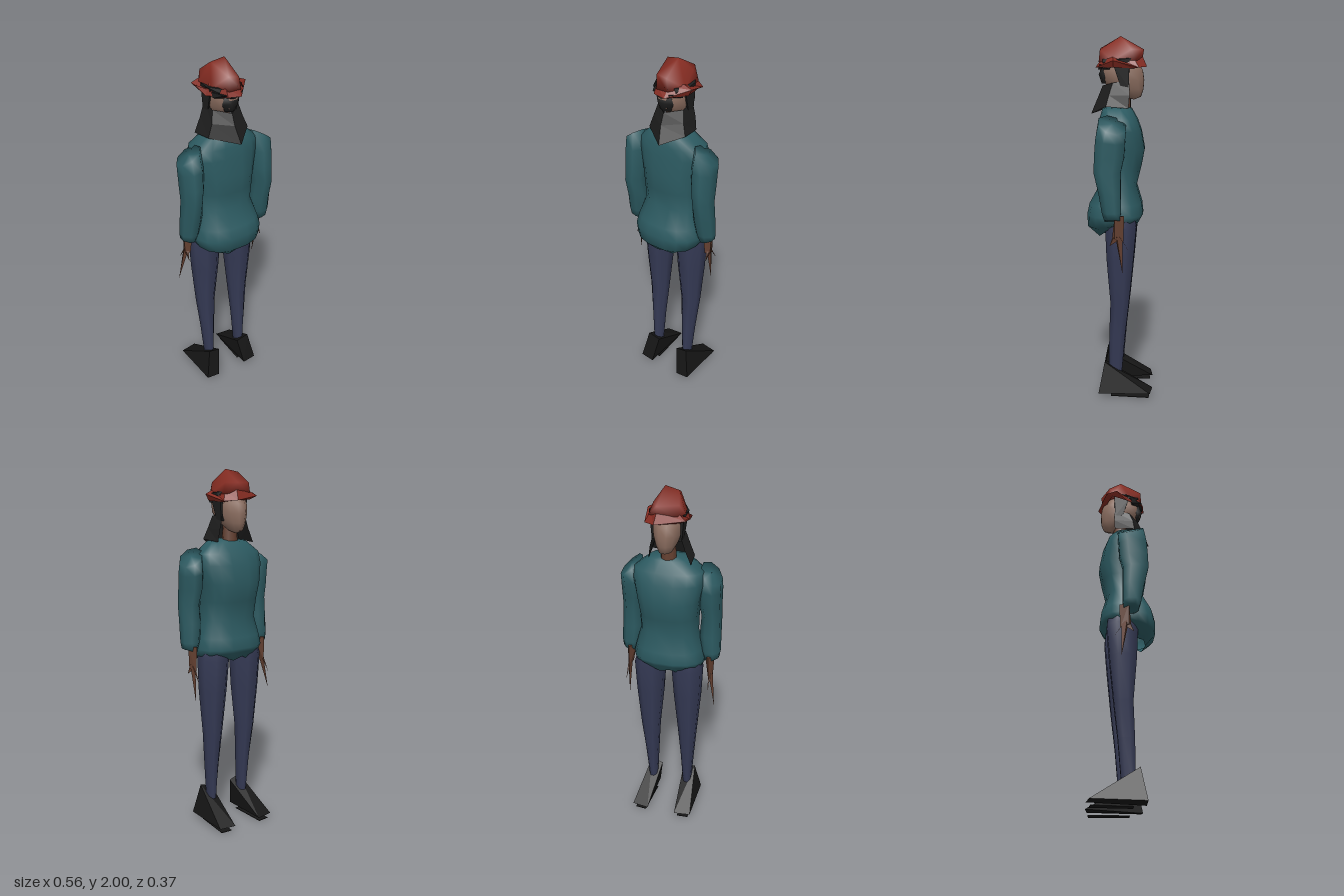
import * as THREE from 'three';
import { ConvexGeometry } from 'three/addons/geometries/ConvexGeometry.js';
import { mergeVertices } from 'three/addons/utils/BufferGeometryUtils.js';

const mat = (name, color, side = THREE.FrontSide) => {
  const m = new THREE.MeshStandardMaterial({ color, side });
  m.name = name;
  return m;
};

// One cross-section: ellipse at height y, optionally tilted across x and z, with a jagged edge.
// A power below 1 squares the ellipse off.
function ring(sides, power, [y, rx, rz, cx = 0, cz = 0, tiltX = 0, tiltZ = 0, jag = 0]) {
  const shape = (v) => Math.sign(v) * Math.abs(v) ** power;
  return Array.from({ length: sides }, (_, i) => {
    const a = ((i + 0.5) / sides) * Math.PI * 2;
    const c = shape(Math.cos(a)), s = shape(Math.sin(a));
    return [cx + rx * c, y + tiltX * c + tiltZ * s + (i % 2 ? jag : -jag), cz + rz * s];
  });
}

// Skin rows of points, given from top to bottom
function skinRows(rows, closed = true, flat = false) {
  const n = rows[0].length, index = [];
  for (let i = 0; i < rows.length - 1; i++) {
    for (let j = 0; j < (closed ? n : n - 1); j++) {
      const k = (j + 1) % n;
      const a = i * n + j, b = i * n + k, c = a + n, d = b + n;
      index.push(a, b, c, b, d, c);
    }
  }
  let g = new THREE.BufferGeometry();
  g.setAttribute('position', new THREE.Float32BufferAttribute(rows.flat(2), 3));
  g.setIndex(index);
  if (flat) g = g.toNonIndexed();
  g.computeVertexNormals();
  return g;
}

const loft = (sides, sections, power = 1) => skinRows(sections.map((s) => ring(sides, power, s)));

// Faceted solid around a few corner points; m = -1 mirrors it
const hull = (pts, m = 1) => new ConvexGeometry(pts.map(([x, y, z]) => new THREE.Vector3(x * m, y, z)));

// Share the corners of a hull so that it shades smoothly
function smooth(geometry) {
  geometry.deleteAttribute('normal');
  const g = mergeVertices(geometry);
  g.computeVertexNormals();
  return g;
}

export function createModel() {
  const model = new THREE.Group();
  const teal = mat('teal cloth', 0x2c5a61, THREE.DoubleSide);
  const navy = mat('navy cloth', 0x353a55, THREE.DoubleSide);
  const red = mat('red felt', 0x852c22, THREE.DoubleSide);
  const black = mat('black hair', 0x1e1e1e, THREE.DoubleSide);
  const leather = mat('black leather', 0x161616);
  const skin = mat('face skin', 0x8c6e60);
  const brown = mat('hand skin', 0x633f30);

  const add = (name, geometry, material) => {
    const mesh = new THREE.Mesh(geometry, material);
    mesh.name = name;
    model.add(mesh);
  };

  // Baggy pullover, tucked in below so that the legs break through the hem
  add('pullover', loft(16, [
    [1.64, 0.001, 0.001, 0, 0.02],
    [1.62, 0.11, 0.08, 0, 0.02],
    [1.56, 0.19, 0.105, 0, 0.012],
    [1.5, 0.195, 0.12, 0, 0.005],
    [1.4, 0.175, 0.135, 0, 0.001],
    [1.3, 0.162, 0.125, 0, 0.01],
    [1.2, 0.16, 0.104, 0, 0.014],
    [1.1, 0.188, 0.147, 0, 0.027],
    [1.04, 0.203, 0.157, 0, 0.03],
    [0.995, 0.192, 0.15, 0, 0.034, 0, -0.025],
    [0.95, 0.11, 0.11, 0, 0.02, 0, -0.03, 0.008],
  ], 0.8), teal);

  for (const [side, m, tip] of [['left', 1, 0.235], ['right', -1, 0.272]]) {
    // Sleeve cut off at a slant over the shoulder and pinched at the elbow
    add(side + 'Sleeve', loft(8, [
      [1.545, 0.001, 0.001, 0.22 * m, 0.035],
      [1.54, 0.058, 0.078, 0.222 * m, 0.034, -0.043 * m, 0.02],
      [1.46, 0.064, 0.084, 0.217 * m, 0.044, -0.015 * m, 0.01],
      [1.37, 0.062, 0.085, 0.217 * m, 0.05],
      [1.29, 0.055, 0.076, 0.224 * m, 0.06],
      [1.18, 0.06, 0.063, 0.223 * m, 0.047],
      [1.08, 0.055, 0.054, 0.23 * m, 0.038],
      [1.035, 0.042, 0.044, 0.238 * m, 0.034, 0.012 * m],
      [1.045, 0.001, 0.001, 0.238 * m, 0.03],
    ]), teal);

    // Hand: narrow palm, long finger spike, thumb and short finger
    const palm = [[0.2, 1.06, 0.02], [0.255, 1.06, 0.02], [0.23, 1.06, -0.03],
      [0.225, 0.94, 0.035], [0.25, 0.94, 0.02], [0.235, 0.92, -0.025]];
    const fingers = [
      [[0.226, 0.96, 0.02], [0.25, 0.96, 0.01], [0.235, 0.95, -0.02], [tip, 0.75, -0.02]],
      [[0.228, 0.96, 0], [0.244, 0.96, 0], [0.235, 0.92, -0.025], [0.24, 0.86, -0.062]],
      [[0.228, 0.98, 0.02], [0.245, 0.98, 0.01], [0.238, 0.93, 0.0], [0.242, 0.9, 0.048]],
    ];
    add(side + 'Palm', hull(palm, m), brown);
    fingers.forEach((f, i) => add(side + 'Finger' + (i + 1), hull(f, m), brown));

    // Tapered trouser leg
    add(side + 'TrouserLeg', loft(8, [
      [1.06, 0.075, 0.085, 0.103 * m, 0],
      [0.98, 0.09, 0.092, 0.108 * m, -0.006],
      [0.8, 0.08, 0.08, 0.11 * m, -0.002],
      [0.55, 0.057, 0.056, 0.112 * m, 0.0],
      [0.35, 0.04, 0.048, 0.11 * m, 0.015],
      [0.14, 0.025, 0.04, 0.108 * m, 0.025],
    ]), navy);

    // Wedge shoe with a separate thin sole
    add(side + 'Shoe', hull([
      [0.068, 0.18, 0.08], [0.14, 0.2, 0.085], [0.095, 0.015, 0.118], [0.175, 0.025, 0.118],
      [0.085, 0.03, -0.185], [0.18, 0.03, -0.172],
    ], m), leather);
    add(side + 'Sole', hull([
      [0.09, 0, 0.05], [0.15, 0, 0.05], [0.1, 0, -0.17], [0.165, 0, -0.165],
      [0.09, 0.003, 0.05], [0.15, 0.003, 0.05], [0.1, 0.003, -0.17], [0.165, 0.003, -0.165],
    ], m), leather);

    // Hair lock in front of the ear
    add(side + 'Sideburn', hull([
      [0.074, 1.87, -0.05], [0.09, 1.87, -0.05], [0.074, 1.87, 0.04], [0.09, 1.86, 0.04],
      [0.06, 1.73, -0.045], [0.08, 1.73, -0.045], [0.07, 1.74, 0.0], [0.08, 1.74, 0.0],
    ], m), black);

    // Thin dark lock lying along the hat brim
    add(side + 'BrimLock', hull([
      [0.08, 1.885, -0.06], [0.098, 1.88, -0.03], [0.095, 1.86, -0.04],
      [0.06, 1.88, 0.095], [0.07, 1.86, 0.095], [0.075, 1.85, 0.07], [0.1, 1.875, 0.02],
    ], m), black);
  }

  // Head and neck
  add('head', loft(12, [
    [1.9, 0.001, 0.001, 0, 0],
    [1.88, 0.07, 0.09, 0, 0],
    [1.82, 0.08, 0.12, 0, -0.003],
    [1.77, 0.077, 0.12, 0, -0.01],
    [1.72, 0.058, 0.09, 0, -0.035],
    [1.68, 0.035, 0.045, 0, -0.065],
    [1.665, 0.001, 0.001, 0, -0.07],
  ]), skin);
  add('neck', new THREE.CylinderGeometry(0.035, 0.045, 0.14, 8).translate(0, 1.67, -0.01), brown);

  // Dark whiskers and eyebrows
  add('whiskers', smooth(hull([
    [-0.045, 1.835, 0.1], [0.045, 1.835, 0.1], [-0.035, 1.75, 0.085], [0.035, 1.75, 0.085],
    [-0.05, 1.79, 0.085], [0.05, 1.79, 0.085], [-0.02, 1.8, 0.12], [0.02, 1.8, 0.12], [0, 1.75, 0.105],
    [-0.03, 1.83, 0.06], [0.03, 1.83, 0.06],
  ])), black);
  add('eyebrows', hull([
    [-0.09, 1.855, 0.05], [0.09, 1.855, 0.05], [-0.055, 1.85, 0.115], [0.055, 1.85, 0.115],
    [-0.085, 1.825, 0.055], [0.085, 1.825, 0.055], [0, 1.825, 0.125],
  ]), black);

  // Beard spreading over the chest, open at the back
  add('beard', skinRows([
    [[0.07, 1.77, -0.05], [0.078, 1.755, 0.04], [0, 1.74, 0.1], [-0.078, 1.755, 0.04], [-0.07, 1.77, -0.05]],
    [[0.09, 1.69, -0.05], [0.094, 1.69, 0.06], [0, 1.68, 0.125], [-0.094, 1.69, 0.06], [-0.095, 1.69, -0.05]],
    [[0.1, 1.62, -0.045], [0.115, 1.63, 0.075], [0.015, 1.588, 0.163], [-0.12, 1.62, 0.065], [-0.13, 1.61, -0.05]],
  ], false, true), black);

  // Domed hat crown
  add('hatCrown', smooth(hull([
    [0.02, 2.0, 0], [-0.055, 1.985, -0.01], [0.03, 1.93, -0.125], [-0.075, 1.93, -0.08],
    [0.065, 1.93, -0.06], [-0.03, 1.94, 0.112], [0.03, 1.93, 0.112],
    [-0.1, 1.88, -0.05], [-0.085, 1.87, 0.04], [-0.03, 1.865, 0.118], [0.04, 1.865, 0.118],
    [0.09, 1.87, 0.04], [0.085, 1.87, -0.08], [0.03, 1.87, -0.115], [-0.07, 1.87, -0.1],
  ])), red);

  // Drooping irregular brim
  add('hatBrim', skinRows([
    [[0.08, 1.89, 0.04], [0.03, 1.885, 0.1], [-0.04, 1.885, 0.1], [-0.085, 1.89, 0.02],
      [-0.07, 1.89, -0.08], [0.03, 1.9, -0.115], [0.075, 1.89, -0.07]],
    [[0.125, 1.87, 0.035], [0.03, 1.835, 0.137], [-0.04, 1.84, 0.125], [-0.105, 1.83, 0.02],
      [-0.115, 1.86, -0.1], [0.04, 1.84, -0.142], [0.1, 1.835, -0.1]],
    [[0.105, 1.835, 0.035], [0.025, 1.84, 0.11], [-0.035, 1.84, 0.11], [-0.133, 1.875, -0.04],
      [-0.08, 1.84, -0.08], [0.03, 1.84, -0.11], [0.085, 1.83, -0.07]],
  ], true, true), red);

  return model;
}
